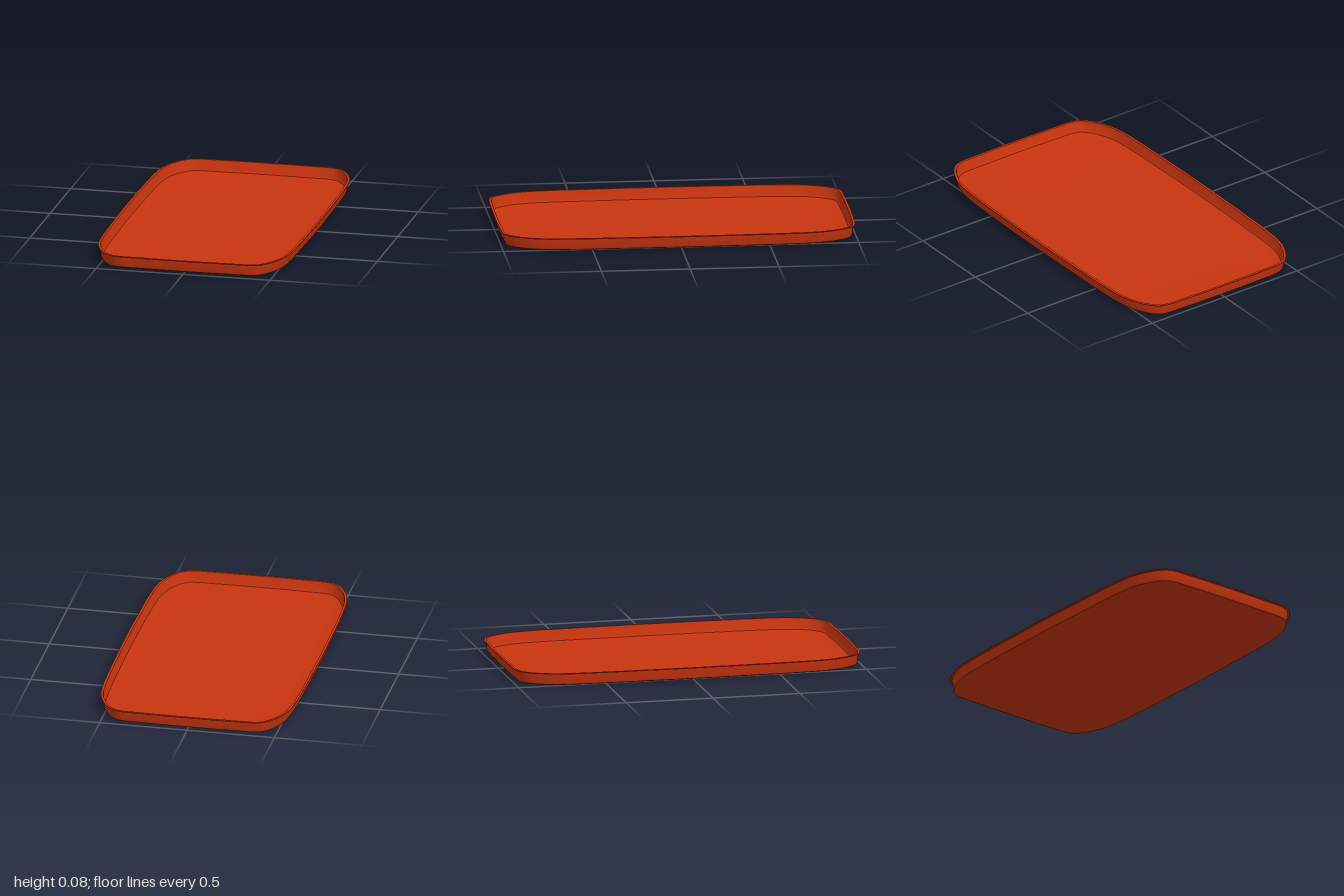
import * as THREE from 'three';
import { toCreasedNormals } from 'three/addons/utils/BufferGeometryUtils.js';

// One quarter of the rim outline as [x, z], from the front middle to the left middle
const QUARTER = [
  [0, 1], [0.25, 0.997], [0.405, 0.987], [0.46, 0.95], [0.51, 0.87],
  [0.54, 0.78], [0.554, 0.66], [0.563, 0.3], [0.566, 0],
];

// Mirror the quarter into a closed outline; returns points with outward normals
function outline(samples) {
  const half = [...QUARTER, ...QUARTER.slice(0, -1).reverse().map(([x, z]) => [x, -z])];
  const full = [...half, ...half.slice(1, -1).reverse().map(([x, z]) => [-x, z])];
  const curve = new THREE.CatmullRomCurve3(full.map(([x, z]) => new THREE.Vector3(x, 0, z)), true);
  return Array.from({ length: samples }, (_, i) => {
    const p = curve.getPoint(i / samples), t = curve.getTangent(i / samples);
    return { x: p.x, z: p.z, nx: -t.z, nz: t.x };
  });
}

// Sweep a profile of [inset, y] around the outline, closed by a centre point at each end
function sweepTray(profile, topY, bottomY) {
  const loop = outline(128), n = loop.length;
  const pos = [0, topY, 0], index = [];
  for (const [inset, y] of profile)
    for (const p of loop) pos.push(p.x - p.nx * inset, y, p.z - p.nz * inset);
  pos.push(0, bottomY, 0);
  const last = pos.length / 3 - 1;
  const at = (r, j) => 1 + r * n + (j % n);
  for (let j = 0; j < n; j++) {
    index.push(0, at(0, j), at(0, j + 1));
    for (let r = 0; r < profile.length - 1; r++) {
      const a = at(r, j), b = at(r + 1, j), c = at(r + 1, j + 1), d = at(r, j + 1);
      index.push(a, b, c, a, c, d);
    }
    index.push(at(profile.length - 1, j), last, at(profile.length - 1, j + 1));
  }
  const g = new THREE.BufferGeometry();
  g.setAttribute('position', new THREE.Float32BufferAttribute(pos, 3));
  g.setIndex(index);
  return toCreasedNormals(g, 0.7);
}

export function createModel() {
  const group = new THREE.Group();
  group.name = 'tray';
  const material = new THREE.MeshStandardMaterial({ color: 0xc8340f });

  // Thin pressed sheet: inner floor, inner wall, flat lip, outer wall, underside
  const profile = [
    [0.1, 0.007], [0.04, 0.009], [0.026, 0.013], [0.019, 0.024], [0.017, 0.07], [0.014, 0.077],
    [0, 0.077], [0, 0.073],
    [0.011, 0.072], [0.013, 0.066], [0.015, 0.022], [0.021, 0.011], [0.034, 0.006], [0.1, 0.002],
  ];
  const tray = new THREE.Mesh(sweepTray(profile, 0.006, 0), material);
  tray.name = 'trayShell';
  group.add(tray);
  return group;
}
